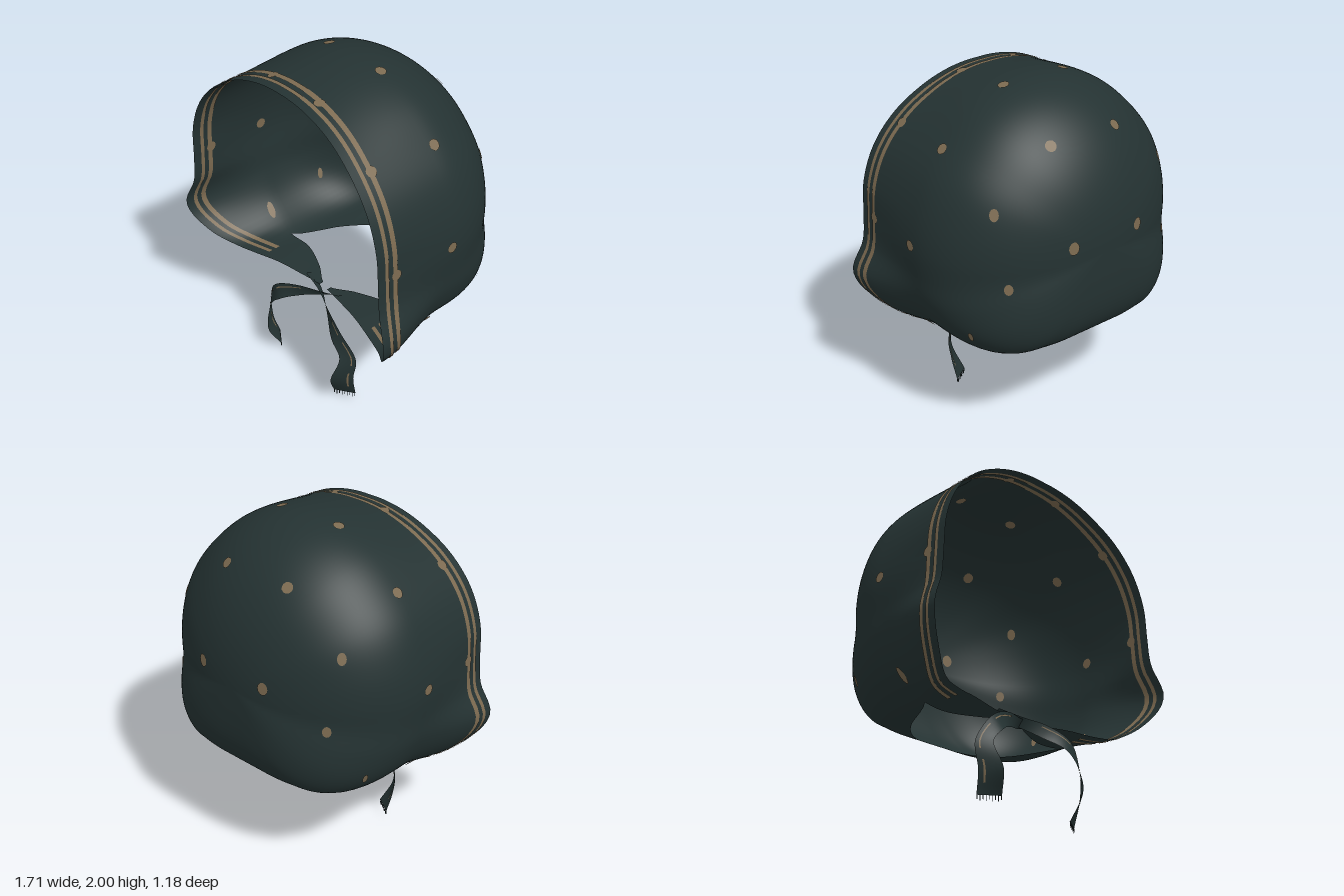
import * as THREE from 'three';

const cloth = new THREE.MeshStandardMaterial({ color: 0x243232, side: THREE.DoubleSide });
cloth.name = 'darkGreenCloth';
const trim = new THREE.MeshStandardMaterial({ color: 0x7c6a50, side: THREE.DoubleSide });
trim.name = 'tanPattern';

const CENTRE = 1.2, BACK = -0.59, MID = 0.1;
const { lerp, smoothstep, degToRad } = THREE.MathUtils;

// Smooth curve through values given at angles around the hood (-90 chin, 0 side, 90 crown)
const ANGLES = [-90, -75, -60, -51, -45, -35, -22, -12, 0, 15, 30, 45, 60, 90];
function curve(values) {
  const c = new THREE.CubicInterpolant(ANGLES, values, 1);
  c.settings = { endingStart: THREE.ZeroSlopeEnding, endingEnd: THREE.ZeroSlopeEnding };
  return (a) => c.evaluate(a)[0];
}
const midRadius = curve([.625, .647, .72, .79, .82, .84, .825, .80, .795, .795, .80, .795, .80, .80]);
const rimRadius = curve([.625, .645, .71, .80, .87, .92, .92, .81, .775, .785, .79, .78, .765, .745]);
const rimZ = curve([.27, .29, .33, .37, .41, .51, .59, .565, .56, .56, .555, .545, .53, .52]);
const neckZ = curve([-.42, -.37, -.18, .1, .1, .1, .1, .1, .1, .1, .1, .1, .1, .1]);
const flapZ = curve([.25, .16, .09, .1, .1, .1, .1, .1, .1, .1, .1, .1, .1, .1]);

const fold = (deg) => Math.asin(Math.sin(degToRad(deg))) * 180 / Math.PI;

// Point of the hood at an angle round the z axis and a depth z
function hoodPoint(deg, z) {
  const a = fold(deg), r = degToRad(deg);
  let radius = midRadius(a);
  const start = 0.05;
  if (z < start) {
    const n = lerp(4, 2.05, smoothstep(a, -75, -5));
    const t = Math.min(1, (start - z) / (start - BACK));
    radius *= Math.pow(1 - Math.pow(t, n), 1 / n);
  } else {
    radius = lerp(radius, rimRadius(a), smoothstep(z, start, Math.max(rimZ(a), 0.2)));
  }
  return new THREE.Vector3(Math.cos(r) * radius, CENTRE + Math.sin(r) * radius, z);
}

// Normal of a parametric surface by central differences
function normalAt(fn, u, v) {
  const e = 0.001, w = Math.max(v, 0.004);
  const du = fn(u + e, w).sub(fn(u - e, w));
  const dv = fn(u, w + e).sub(fn(u, w - e));
  return du.cross(dv).normalize();
}

// Grid mesh over u, v in 0..1, lifted off along its normal
function sheet(name, material, fn, nu, nv, lift = 0) {
  const pos = [], nor = [], index = [];
  for (let j = 0; j <= nv; j++) {
    for (let i = 0; i <= nu; i++) {
      const u = i / nu, v = j / nv;
      const n = normalAt(fn, u, v);
      const p = fn(u, v).addScaledVector(n, lift);
      pos.push(p.x, p.y, p.z);
      nor.push(n.x, n.y, n.z);
      if (i < nu && j < nv) {
        const a = j * (nu + 1) + i, b = a + 1, d = a + nu + 1, c = d + 1;
        index.push(a, b, c, a, c, d);
      }
    }
  }
  const g = new THREE.BufferGeometry();
  g.setAttribute('position', new THREE.Float32BufferAttribute(pos, 3));
  g.setAttribute('normal', new THREE.Float32BufferAttribute(nor, 3));
  g.setIndex(index);
  const m = new THREE.Mesh(g, material);
  m.name = name;
  return m;
}

// One tie: crosses under the chin, then hangs twisted to a fringed end
function makeTie(name, side, raise) {
  const tie = new THREE.Group();
  tie.name = name;
  const V = (x, y, z) => new THREE.Vector3(x * side, y, z);
  const centre = new THREE.CatmullRomCurve3([
    V(-.14, .585, .25), V(0, .555 - raise * .4, .29), V(.13, .515, .35), V(.26, .45, .4),
    V(.345, .33, .39), V(.325, .18, .415), V(.295, .03 + raise, .37)]);
  const half = new THREE.CatmullRomCurve3([
    V(0, .012, .03), V(.005, .022, .02), V(.015, .035, .01), V(.03, .032, -.01),
    V(.035, .006, -.03), V(.04, 0, -.05), V(.053, 0, -.036)]);
  const at = (s, w) => {
    const t = THREE.MathUtils.clamp(s, 0, 1);
    return centre.getPoint(t).addScaledVector(half.getPoint(t), w);
  };
  tie.add(sheet('tieRibbon', cloth, (u, v) => at(v, u * 2 - 1), 4, 48));
  for (const lift of [.003, -.003]) {
    for (const [s0, s1] of [[.3, .5], [.55, .72], [.78, .92]]) {
      tie.add(sheet('tieStripe', trim,
        (u, v) => at(lerp(s0, s1, v), lerp(.4, .56, u)), 1, 10, lift));
    }
  }
  // Fringe threads
  for (let i = 0; i < 9; i++) {
    const p = at(1, -0.95 + i * 1.9 / 8);
    const len = i % 2 ? .03 : .022;
    const thread = new THREE.Mesh(new THREE.BoxGeometry(.003, len, .003), cloth);
    thread.position.set(p.x, p.y - len / 2, p.z);
    thread.name = 'fringeThread';
    tie.add(thread);
  }
  return tie;
}

export function createModel() {
  const model = new THREE.Group();
  model.name = 'hood';

  // Hood shell: the back dome, then the side and crown reaching the face opening
  const toNeck = (deg, v) => hoodPoint(deg, BACK + (neckZ(fold(deg)) - BACK) * v * v);
  const dome = (u, v) => toNeck(lerp(-51, 231, u), v);
  const nape = (u, v) => toNeck(lerp(231, 309, u), v);
  const crown = (u, v) => {
    const deg = lerp(-51, 231, u);
    return hoodPoint(deg, lerp(MID, rimZ(fold(deg)), v));
  };
  model.add(sheet('backDome', cloth, dome, 120, 40));
  model.add(sheet('nape', cloth, nape, 40, 40));
  model.add(sheet('crown', cloth, crown, 120, 24));

  // Chin flaps on both sides, tapering to the ties
  for (const [name, from, to] of [['leftChinFlap', -87, -51], ['rightChinFlap', 231, 267]]) {
    model.add(sheet(name, cloth, (u, v) => {
      const deg = lerp(from, to, u), a = fold(deg);
      return hoodPoint(deg, lerp(flapZ(a), rimZ(a), v));
    }, 20, 24));
  }

  // Two stripes along the face opening, inside and outside
  for (const [near, far] of [[.048, .071], [.098, .127]]) {
    for (const lift of [.004, -.004]) {
      model.add(sheet('rimStripe', trim, (u, v) => {
        const deg = lerp(-54, 234, u);
        return hoodPoint(deg, rimZ(fold(deg)) - lerp(far, near, v));
      }, 120, 2, lift));
    }
  }

  // Dots: angle, depth, width, height
  const dots = [
    [69.5, -.37, 1, 1], [75.6, .03, 1, 1], [41.5, .03, 1, 1], [27.3, -.35, .8, 1.1],
    [18.4, -.565, 1, 1.2], [-12, -.43, .8, 1], [1.5, .07, 1, 1], [-32.5, -.27, .5, 1.1],
    [-38, .12, .7, 1.7], [76, .42, 1, .9], [43, .43, 1, 1], [2, .44, 1, 1]];
  const disc = new THREE.CircleGeometry(.031, 12);
  for (const [angle, z, w, h] of dots) {
    for (const deg of [angle, 180 - angle]) {
      const p = hoodPoint(deg, z);
      const n = normalAt((u, v) => hoodPoint(deg + u * 10, z + (v - .5) * .2), 0, .5);
      for (const lift of [.005, -.005]) {
        const dot = new THREE.Mesh(disc, trim);
        dot.name = 'dot';
        dot.position.copy(p).addScaledVector(n, lift);
        dot.lookAt(dot.position.clone().addScaledVector(n, Math.sign(lift)));
        dot.scale.set(w, h, 1);
        model.add(dot);
      }
    }
  }

  model.add(makeTie('leftTie', 1, 0));
  model.add(makeTie('rightTie', -1, .028));
  return model;
}
